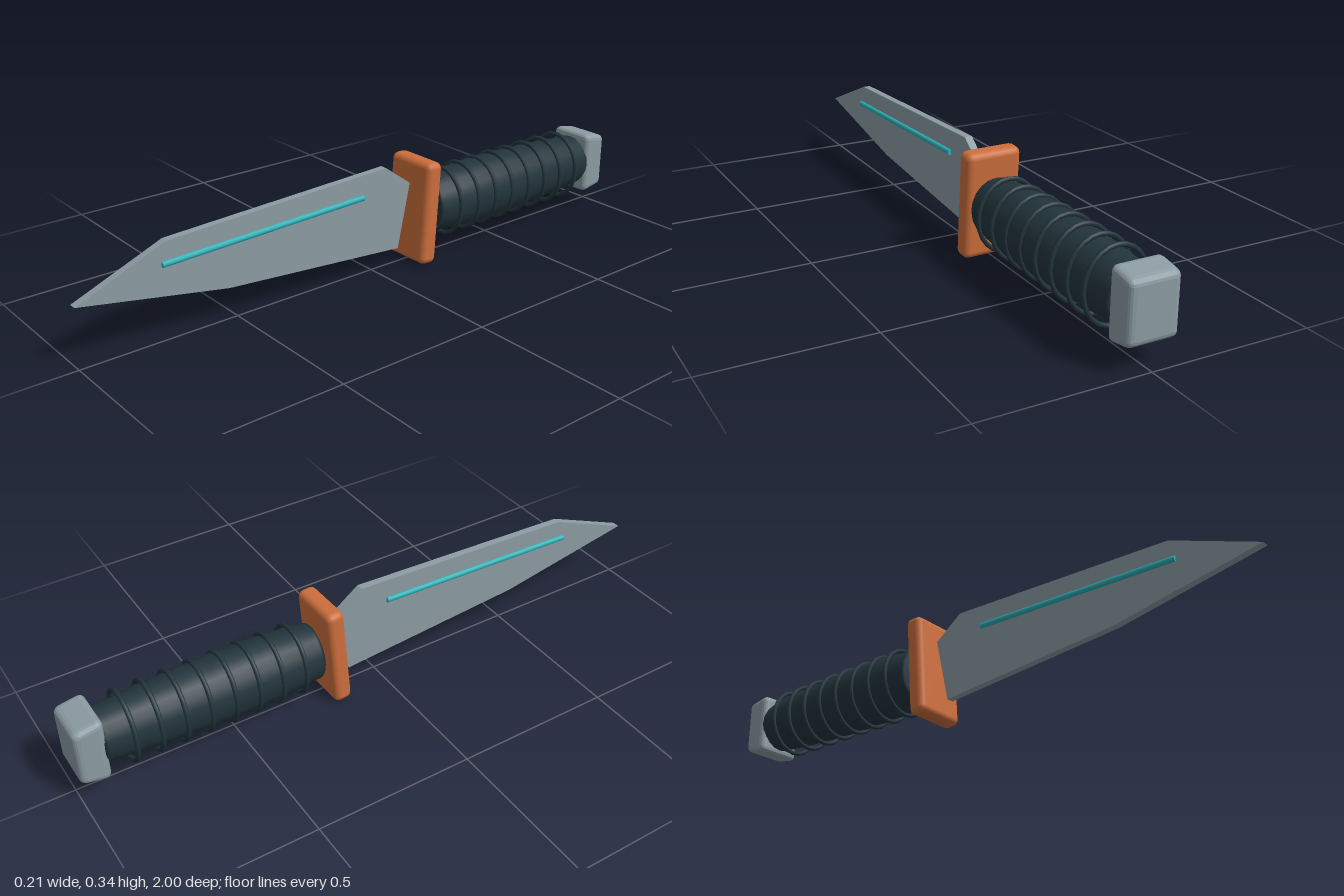
import * as THREE from 'three';
import { RoundedBoxGeometry } from 'three/addons/geometries/RoundedBoxGeometry.js';

const material = (name, color, flatShading = false) => {
  const m = new THREE.MeshStandardMaterial({ color, flatShading });
  m.name = name;
  return m;
};

export function createModel() {
  const steel = material('steel', 0x8c9ca3);
  const copper = material('copper', 0xcd6e3c);
  const grip = material('dark grip', 0x22343c);
  const teal = material('teal inlay', 0x2cb2b8);

  const model = new THREE.Group();
  model.name = 'knife';
  const add = (name, geometry, mat, x = 0, y = 0, z = 0) => {
    const mesh = new THREE.Mesh(geometry, mat);
    mesh.name = name;
    mesh.position.set(x, y, z);
    model.add(mesh);
    return mesh;
  };

  // Blade: side outline as (z, y), extruded across x
  const outline = [[1, 0.193], [0.72, 0.306], [-0.05, 0.336], [-0.147, 0.265], [-0.1, 0.054], [0.53, 0.106]];
  const shape = new THREE.Shape(outline.map(([z, y]) => new THREE.Vector2(z, y)));
  const blade = new THREE.ExtrudeGeometry(shape, { depth: 0.024, bevelEnabled: false });
  blade.translate(0, 0, -0.012).rotateY(-Math.PI / 2);
  add('blade', blade, steel);

  // Inlay rod on each face of the blade
  for (const side of [-1, 1]) {
    const rod = new THREE.CylinderGeometry(0.009, 0.009, 0.7, 10);
    rod.rotateX(Math.PI / 2);
    const mesh = add(side > 0 ? 'leftInlay' : 'rightInlay', rod, teal, side * 0.0135, 0.251, 0.39);
    mesh.rotation.x = 0.03;
  }

  // Guard: slightly leaning rounded slab
  const guard = add('guard', new RoundedBoxGeometry(0.18, 0.336, 0.06, 2, 0.02), copper, 0, 0.172, -0.176);
  guard.rotation.set(-0.07, 0.02, 0);

  // Handle: barrel swelling near the guard, with shallow wrap ridges
  const length = 0.695, wraps = 18;
  const swell = new THREE.SplineCurve([
    new THREE.Vector2(0, 0.092), new THREE.Vector2(0.14, 0.105), new THREE.Vector2(0.3, 0.107),
    new THREE.Vector2(0.5, 0.1), new THREE.Vector2(length, 0.086),
  ]);
  const profile = [new THREE.Vector2(0, 0)];
  for (let i = 0; i <= wraps * 2; i++) {
    const p = swell.getPoint(i / (wraps * 2));
    profile.push(new THREE.Vector2(p.y - (i % 2 ? 0 : 0.003), p.x));
  }
  profile.push(new THREE.Vector2(0, length));
  const handle = new THREE.LatheGeometry(profile, 20);
  handle.rotateX(-Math.PI / 2).scale(0.92, 1, 1);
  add('handle', handle, grip, 0, 0.17, -0.222);

  // Cord rings around the handle
  for (let i = 0; i < 8; i++) {
    const ring = new THREE.TorusGeometry(0.111, 0.0075, 8, 24);
    ring.scale(0.88, 1, 1);
    add('gripRing', ring, grip, 0, 0.168, -0.294 - i * 0.077);
  }

  // Pommel: rounded block narrowing in height toward the back
  const pommel = new RoundedBoxGeometry(0.156, 0.214, 0.092, 2, 0.02);
  const pos = pommel.attributes.position;
  for (let i = 0; i < pos.count; i++) {
    const t = (0.046 - pos.getZ(i)) / 0.092;
    pos.setY(i, pos.getY(i) * (1 - 0.16 * t));
  }
  pommel.computeVertexNormals();
  add('pommel', pommel, steel, 0, 0.17, -0.954);

  return model;
}
